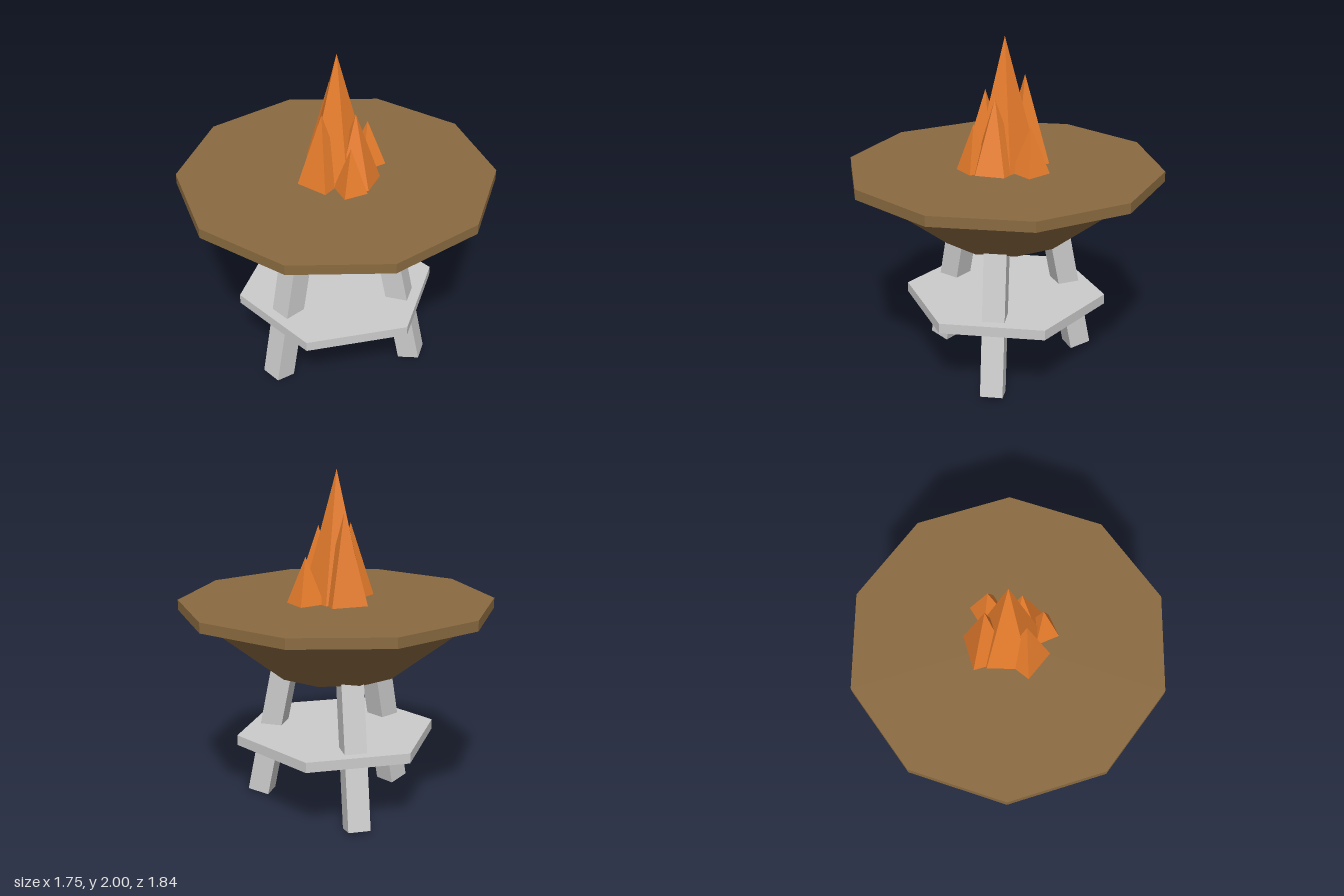
import * as THREE from 'three';

const mat = (color) => new THREE.MeshStandardMaterial({ color, flatShading: true });

export function createModel() {
  const model = new THREE.Group();
  model.name = 'firePit';
  const grey = mat(0xcccccc);
  const bronze = mat(0x8a6a40);
  const orange = mat(0xe87d2c);

  const add = (name, geometry, material, x, y, z) => {
    const mesh = new THREE.Mesh(geometry, material);
    mesh.name = name;
    mesh.position.set(x, y, z);
    model.add(mesh);
    return mesh;
  };

  // Ten-sided bowl with a wider flat rim on top
  add('bowl', new THREE.CylinderGeometry(0.84, 0.38, 0.36, 10), bronze, 0, 1.01, 0);
  add('rim', new THREE.CylinderGeometry(0.92, 0.92, 0.06, 10), bronze, 0, 1.22, 0);

  // Hexagonal shelf between the legs
  add('shelf', new THREE.CylinderGeometry(0.6, 0.6, 0.06, 6), grey, 0, 0.43, 0);

  // Three splayed square legs, one pointing to +x
  for (let i = 0; i < 3; i++) {
    const pivot = new THREE.Group();
    pivot.name = 'leg' + (i + 1);
    pivot.rotation.y = (i * Math.PI * 2) / 3;
    const leg = new THREE.Mesh(new THREE.BoxGeometry(0.13, 0.85, 0.13), grey);
    leg.name = 'legPost';
    leg.position.set(0.4, 0.43, 0);
    leg.rotation.z = 0.2;
    pivot.add(leg);
    model.add(pivot);
  }

  // Flames: x, z, tip height, radius, sides, angle of one corner from +x towards +z
  const flames = [
    ['mainFlame', 0, 0, 2.0, 0.2, 5, 199],
    ['flameBackRight', -0.075, -0.105, 1.77, 0.15, 4, 190],
    ['flameFrontRight', -0.05, 0.12, 1.68, 0.138, 4, 65],
    ['flameLeft', 0.122, 0.038, 1.67, 0.145, 5, -29],
    ['flameFrontLeft', 0.13, 0.16, 1.52, 0.1, 4, 3],
    ['flameBackLeft', 0.135, -0.165, 1.52, 0.11, 4, -4],
  ];
  const base = 1.25;
  for (const [name, x, z, tip, radius, sides, angle] of flames) {
    const cone = new THREE.ConeGeometry(radius, tip - base, sides);
    cone.rotateY(Math.PI / 2 - THREE.MathUtils.degToRad(angle));
    add(name, cone, orange, x, (tip + base) / 2, z);
  }

  return model;
}
